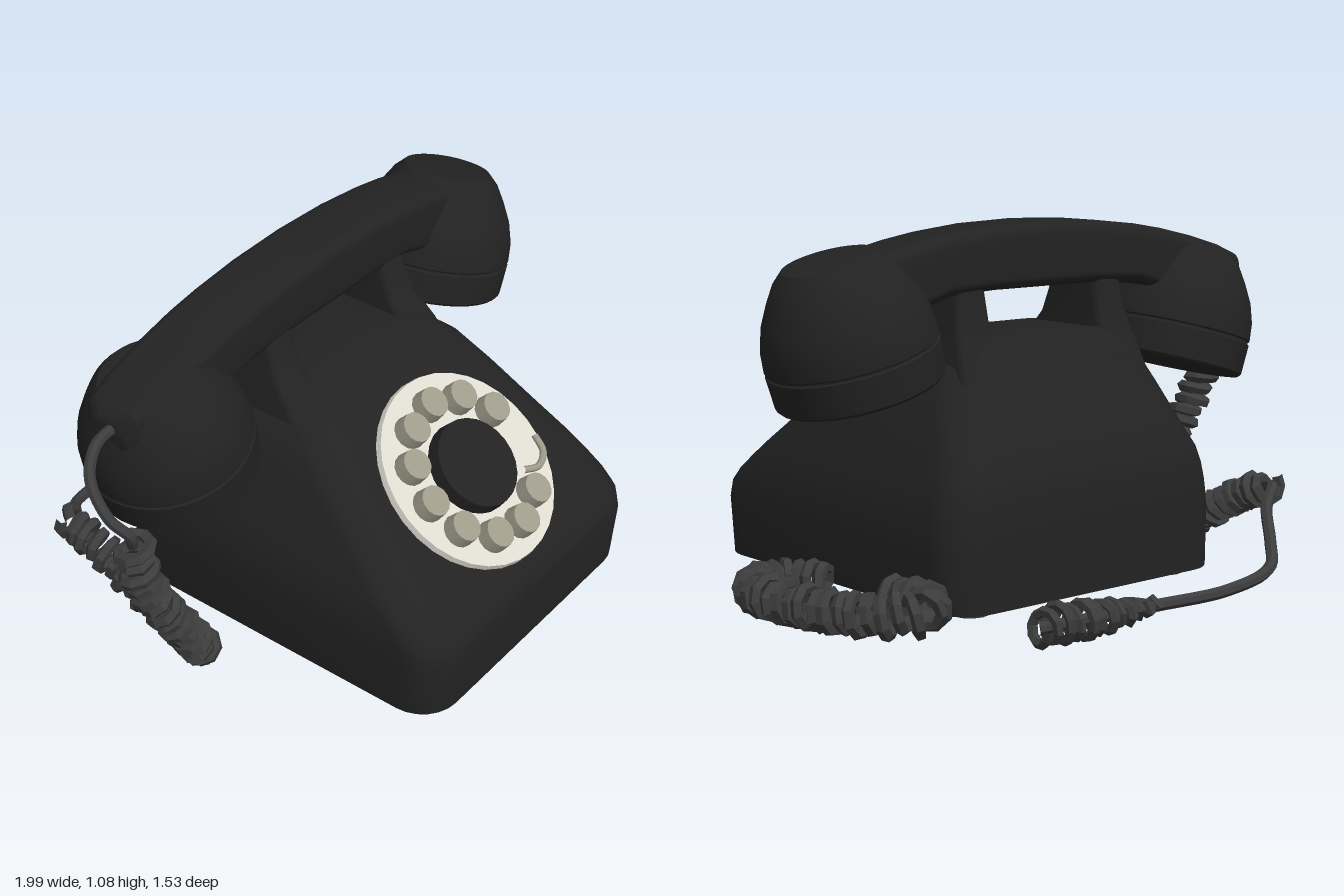
import * as THREE from 'three';
import { toCreasedNormals } from 'three/addons/utils/BufferGeometryUtils.js';

const V = (x, y, z) => new THREE.Vector3(x, y, z);
const material = (name, color) => {
  const m = new THREE.MeshStandardMaterial({ color });
  m.name = name;
  return m;
};

// Outline of a rounded rectangle as [u, v] pairs
function roundRect(hu, hv, r, steps = 6) {
  const pts = [];
  [[1, 1], [-1, 1], [-1, -1], [1, -1]].forEach(([su, sv], q) => {
    for (let i = 0; i <= steps; i++) {
      const a = (q + i / steps) * Math.PI / 2;
      pts.push([su * (hu - r) + r * Math.cos(a), sv * (hv - r) + r * Math.sin(a)]);
    }
  });
  return pts;
}

// Skin closed rings of points and cap both ends
function loft(rings, crease = 0.6) {
  const n = rings[0].length, pos = [], idx = [];
  rings.forEach(r => r.forEach(p => pos.push(p.x, p.y, p.z)));
  for (let i = 0; i < rings.length - 1; i++) {
    for (let j = 0; j < n; j++) {
      const a = i * n + j, b = i * n + (j + 1) % n;
      idx.push(a, b, a + n, b, b + n, a + n);
    }
  }
  [0, rings.length - 1].forEach((i, end) => {
    const c = rings[i].reduce((s, p) => s.add(p), V(0, 0, 0)).divideScalar(n);
    const k = pos.length / 3;
    pos.push(c.x, c.y, c.z);
    for (let j = 0; j < n; j++) {
      const a = i * n + j, b = i * n + (j + 1) % n;
      if (end) idx.push(k, a, b); else idx.push(k, b, a);
    }
  });
  const g = new THREE.BufferGeometry();
  g.setAttribute('position', new THREE.Float32BufferAttribute(pos, 3));
  g.setIndex(idx);
  return toCreasedNormals(g, crease);
}

// Horizontal section: height, x range, z range, corner radius
const section = (y, x0, x1, z0, z1, r) =>
  roundRect((x1 - x0) / 2, (z1 - z0) / 2, r).map(([u, v]) => V((x0 + x1) / 2 + u, y, (z0 + z1) / 2 - v));

// Tube wound around a path, with slightly uneven turns
function coil(points, turns, radiusAt, wire) {
  const path = new THREE.CatmullRomCurve3(points);
  const n = turns * 8, f = path.computeFrenetFrames(n), pts = [];
  for (let i = 0; i <= n; i++) {
    const a = i / 8 * Math.PI * 2;
    const r = radiusAt(i / n) * (1 + 0.12 * Math.sin(i * 0.37) + 0.06 * Math.sin(i * 1.13));
    pts.push(path.getPointAt(i / n)
      .addScaledVector(f.normals[i], r * Math.cos(a))
      .addScaledVector(f.binormals[i], r * Math.sin(a)));
  }
  return new THREE.TubeGeometry(new THREE.CatmullRomCurve3(pts), n, wire, 5);
}

const tube = (pts, r, seg = 32) => new THREE.TubeGeometry(new THREE.CatmullRomCurve3(pts), seg, r, 7);

export function createModel() {
  const model = new THREE.Group();
  const black = material('black shell', 0x222222);
  const grey = material('grey cord', 0x3c3c3c);
  const ivory = material('ivory dial', 0xdedcd0);
  const beige = material('beige buttons', 0x9f9b8b);
  const add = (name, geo, mat, parent = model) => {
    const m = new THREE.Mesh(geo, mat);
    m.name = name;
    parent.add(m);
    return m;
  };
  const cx = 0.025;

  // Body: y, front z, back z, half width, corner radius
  const body = [
    [0.025, 0.755, -0.415, 0.515, 0.12], [0.2, 0.765, -0.412, 0.521, 0.12],
    [0.25, 0.755, -0.41, 0.518, 0.12], [0.29, 0.72, -0.408, 0.513, 0.12],
    [0.34, 0.66, -0.404, 0.503, 0.12], [0.39, 0.6, -0.395, 0.488, 0.12],
    [0.48, 0.492, -0.35, 0.452, 0.12], [0.58, 0.372, -0.3, 0.414, 0.12],
    [0.67, 0.264, -0.255, 0.365, 0.1], [0.72, 0.18, -0.235, 0.31, 0.08],
    [0.745, 0.14, -0.215, 0.27, 0.07], [0.75, 0.12, -0.2, 0.25, 0.06],
  ].map(([y, zf, zb, hw, r]) => section(y, cx - hw, cx + hw, zb, zf, r));
  add('body', loft(body), black);

  // Two cradle prongs: y, inner and outer distance, back z, front z
  for (const s of [-1, 1]) {
    const rings = [
      [0.6, 0.19, 0.36, -0.27, 0.2], [0.7, 0.2, 0.345, -0.23, 0.14],
      [0.78, 0.207, 0.328, -0.2, 0.07], [0.88, 0.21, 0.315, -0.18, 0.03],
      [0.945, 0.213, 0.307, -0.17, 0.01], [0.957, 0.222, 0.298, -0.16, 0],
    ].map(([y, a, b, z0, z1]) =>
      section(y, cx + Math.min(s * a, s * b), cx + Math.max(s * a, s * b), z0, z1, 0.025));
    add(s < 0 ? 'rightProng' : 'leftProng', loft(rings), black);
  }

  // Feet
  for (const x of [-0.35, 0.41]) for (const z of [0.625, -0.31]) {
    add('foot', new THREE.CylinderGeometry(0.06, 0.055, 0.025, 12), grey).position.set(x, 0.018, z);
  }

  // Dial lying on the sloped front; local y points out of the slope
  const dial = new THREE.Group();
  dial.name = 'dial';
  dial.position.set(0.03, 0.485, 0.486);
  dial.rotation.x = Math.atan(1 / 1.2);
  model.add(dial);
  add('dialPlate', new THREE.CylinderGeometry(0.3, 0.307, 0.04, 32), ivory, dial);
  add('dialHub', new THREE.CylinderGeometry(0.137, 0.142, 0.05, 24), black, dial).position.y = 0.04;
  for (let i = 0; i < 10; i++) {
    const a = THREE.MathUtils.degToRad(25 + i * 31.4);
    add('dialButton', new THREE.CylinderGeometry(0.046, 0.05, 0.05, 14), beige, dial)
      .position.set(0.213 * Math.cos(a), 0.04, -0.213 * Math.sin(a));
  }
  add('fingerStop', tube([V(0.28, 0.025, 0.05), V(0.265, 0.03, 0.1), V(0.21, 0.035, 0.125), V(0.155, 0.03, 0.105)], 0.011, 12), beige, dial);

  // Handset
  const handset = new THREE.Group();
  handset.name = 'handset';
  model.add(handset);
  const half = [
    [0.835, 0.82, 0.9, 0.06], [0.81, 0.8, 0.935, 0.09], [0.72, 0.8, 0.968, 0.1],
    [0.6, 0.81, 1.0, 0.105], [0.47, 0.84, 1.028, 0.108], [0.36, 0.872, 1.046, 0.108],
    [0.2, 0.88, 1.063, 0.108],
  ];
  const stations = [
    ...half.map(([x, ...rest]) => [-x, ...rest]), [0, 0.88, 1.07, 0.108], ...half.slice().reverse(),
  ];
  add('handle', loft(stations.map(([x, lo, hi, hw]) =>
    roundRect(hw, (hi - lo) / 2, 0.035).map(([u, v]) => V(x, (lo + hi) / 2 - v, -0.083 + u)))), black, handset);

  // Ear and mouth cups, turned and tilted inward
  const cupProfile = [
    [0, 0], [0.234, 0], [0.241, 0.008], [0.246, 0.1], [0.241, 0.104], [0.241, 0.109], [0.246, 0.113],
    [0.242, 0.17], [0.225, 0.23], [0.195, 0.29], [0.165, 0.34], [0.135, 0.37], [0, 0.385],
  ].map(p => new THREE.Vector2(...p));
  for (const [name, x, y, tilt] of [['mouthCup', -0.572, 0.602, 0.28], ['earCup', 0.61, 0.63, -0.28]]) {
    const cup = add(name, toCreasedNormals(new THREE.LatheGeometry(cupProfile, 36), 0.6), black, handset);
    cup.position.set(x, y, -0.085);
    cup.rotation.z = tilt;
  }

  // Cord from the handset: plain lead, coil, plain lead, coiled end
  const cord = new THREE.Group();
  cord.name = 'cord';
  model.add(cord);
  add('handsetLead', tube([V(-0.81, 0.88, -0.07), V(-0.9, 0.87, -0.06), V(-0.97, 0.82, -0.02),
    V(-0.983, 0.73, 0.05), V(-0.95, 0.67, 0.09), V(-0.93, 0.62, 0.08)], 0.016), grey, cord);
  add('hangingCoil', coil([V(-0.93, 0.63, 0.08), V(-0.915, 0.5, 0.09), V(-0.86, 0.36, 0.12), V(-0.77, 0.2, 0.13),
    V(-0.7, 0.1, 0.09), V(-0.66, 0.08, -0.02), V(-0.64, 0.12, -0.18), V(-0.645, 0.21, -0.35), V(-0.645, 0.25, -0.47)],
  30, () => 0.042, 0.018), grey, cord);
  add('floorLead', tube([V(-0.645, 0.25, -0.46), V(-0.62, 0.26, -0.5), V(-0.56, 0.21, -0.53), V(-0.5, 0.13, -0.6),
    V(-0.41, 0.075, -0.68), V(-0.2, 0.05, -0.715), V(0.1, 0.05, -0.703), V(0.5, 0.055, -0.69)], 0.018, 48), grey, cord);
  add('floorCoil', coil([V(0.08, 0.05, -0.703), V(0.3, 0.053, -0.7), V(0.5, 0.06, -0.69)],
    11, t => 0.015 + 0.03 * Math.min(1, t * 1.7), 0.015), grey, cord);

  // Loose coil beside the body
  add('looseCoil', coil([V(0.67, 0.09, -0.28), V(0.66, 0.1, -0.42), V(0.72, 0.1, -0.5), V(0.8, 0.095, -0.45),
    V(0.87, 0.09, -0.32), V(0.91, 0.09, -0.18), V(0.922, 0.09, -0.05), V(0.86, 0.09, 0.075),
    V(0.76, 0.09, 0.06), V(0.7, 0.09, -0.05)], 30, () => 0.047, 0.018), grey, model);

  // Faceted look for the cord coils
  grey.flatShading = true;
  return model;
}
